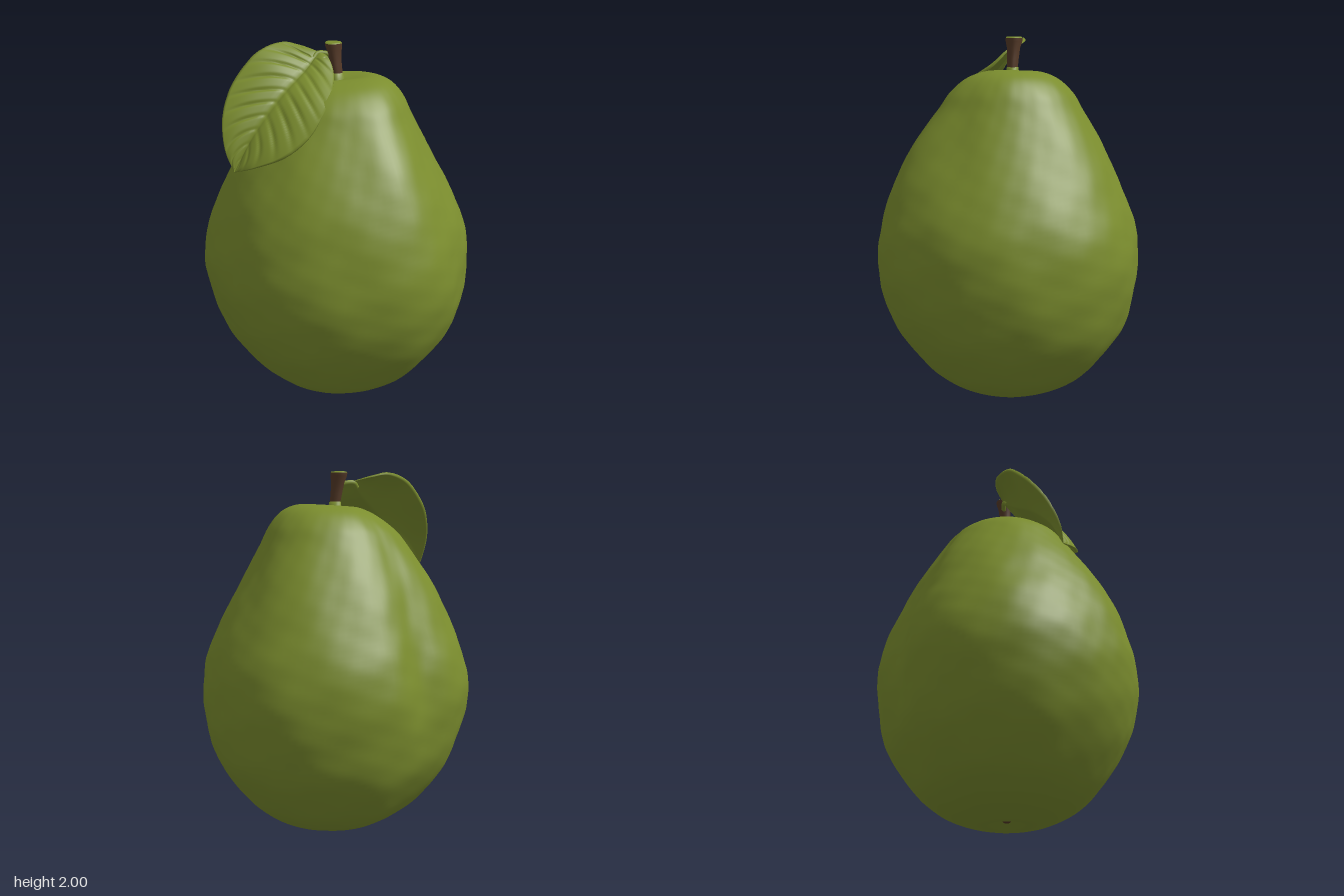
import * as THREE from 'three';

const V = (x, y, z) => new THREE.Vector3(x, y, z);
const curve = (pts) => new THREE.CatmullRomCurve3(pts.map((p) => V(...p)), false, 'catmullrom', 0.5);
const bell = (x, w) => Math.exp(-(x * x) / (w * w));

// Skin a list of closed rings (each counterclockwise seen from the far end)
function loft(rings) {
  const n = rings[0].length, pos = [], idx = [];
  rings.forEach((ring) => ring.forEach((p) => pos.push(p.x, p.y, p.z)));
  for (let i = 0; i < rings.length - 1; i++) {
    for (let j = 0; j < n; j++) {
      const a = i * n + j, b = i * n + ((j + 1) % n);
      idx.push(a, b, b + n, a, b + n, a + n);
    }
  }
  const g = new THREE.BufferGeometry();
  g.setAttribute('position', new THREE.Float32BufferAttribute(pos, 3));
  g.setIndex(idx);
  g.computeVertexNormals();
  return g;
}

// Round upright shape through rows of [x, y, z, radius], slightly knobbly
function stalk(rows, sides = 20) {
  return loft(rows.map(([x, y, z, r]) => Array.from({ length: sides }, (_, j) => {
    const t = (j / sides) * Math.PI * 2;
    const k = r * (1 + 0.07 * Math.sin(3 * t + 1));
    return V(x + k * Math.cos(t), y, z - k * Math.sin(t));
  })));
}

// Fruit: height, then reach to -x, +x, +z, -z
const PROFILE = [
  [0.03, 0, 0, 0, 0],
  [0.024, 0.03, 0.04, 0.03, 0.03],
  [0.003, 0.08, 0.12, 0.1, 0.1],
  [0.01, 0.15, 0.2, 0.18, 0.18],
  [0.045, 0.265, 0.32, 0.28, 0.29],
  [0.1, 0.37, 0.415, 0.385, 0.395],
  [0.2, 0.495, 0.525, 0.49, 0.505],
  [0.4, 0.64, 0.665, 0.625, 0.645],
  [0.6, 0.715, 0.73, 0.7, 0.7],
  [0.8, 0.75, 0.745, 0.72, 0.72],
  [1.0, 0.715, 0.72, 0.69, 0.69],
  [1.2, 0.635, 0.635, 0.63, 0.61],
  [1.4, 0.535, 0.525, 0.52, 0.515],
  [1.6, 0.4, 0.42, 0.385, 0.4],
  [1.7, 0.32, 0.365, 0.32, 0.34],
  [1.775, 0.22, 0.29, 0.23, 0.26],
  [1.812, 0.12, 0.19, 0.12, 0.16],
  [1.805, 0.05, 0.07, 0.05, 0.06],
  [1.793, 0, 0, 0, 0],
];

function fruitGeometry() {
  const xs = curve(PROFILE.map(([y, l, r]) => [l, y, r]));
  const zs = curve(PROFILE.map(([y, , , f, b]) => [f, y, b]));
  const rings = [], rows = 144, sides = 128;
  for (let i = 0; i <= rows; i++) {
    const px = xs.getPoint(i / rows), pz = zs.getPoint(i / rows), y = px.y;
    const top = THREE.MathUtils.smoothstep(y, 1.6, 1.81);
    const ring = [];
    for (let j = 0; j < sides; j++) {
      const t = (j / sides) * Math.PI * 2, c = Math.cos(t), s = -Math.sin(t);
      const near = (x, z, w) => {
        const d = Math.atan2(s, c) - Math.atan2(z, x);
        return bell(Math.atan2(Math.sin(d), Math.cos(d)), w);
      };
      // Shoulders and the hollow that make the outline uneven
      let k = 1 + near(0.48, 0.62, 0.36) * (0.065 * bell(y - 0.9, 0.8) + 0.09 * bell(y - 1.5, 0.28))
        + near(0.42, -0.6, 0.42) * (0.035 + 0.03 * bell(y - 1.5, 0.3))
        - 0.025 * near(-0.5, 0.48, 0.4)
        - 0.06 * near(-0.38, -0.53, 0.19) * bell(y - 1.0, 0.5)
        - 0.045 * near(-0.42, -0.5, 0.38);
      // Soft lumps
      k += 0.006 * Math.sin(5 * t + 4 * y) * Math.sin(7 * y + 2 * t)
        + 0.004 * Math.sin(11 * t - 9 * y) * Math.sin(17 * y + 3 * t)
        + 0.002 * Math.sin(23 * t + 19 * y) * Math.sin(37 * y - 9 * t);
      const x = (c > 0 ? px.z : px.x) * c * k, z = (s > 0 ? pz.x : pz.z) * s * k;
      // The crown leans up toward +x
      ring.push(V(x, y + 0.06 * x * top, z));
    }
    rings.push(ring);
  }
  return loft(rings);
}

// Leaf: two edges and a midrib between base and tip
const BASE = [-0.09, 1.945, -0.01], TIP = [-0.515, 1.38, 0.35];
const LEFT = curve([BASE, [-0.2, 1.975, -0.04], [-0.3, 1.99, -0.025], [-0.42, 1.945, 0.05],
  [-0.52, 1.83, 0.13], [-0.565, 1.73, 0.2], [-0.58, 1.62, 0.27], [-0.56, 1.49, 0.33], TIP]);
const RIGHT = curve([BASE, [-0.04, 1.92, 0.03], [-0.008, 1.84, 0.11], [-0.02, 1.75, 0.245],
  [-0.06, 1.67, 0.33], [-0.13, 1.57, 0.39], [-0.25, 1.48, 0.42], [-0.4, 1.42, 0.4], TIP]);
const MID = curve([BASE, [-0.16, 1.865, 0.07], [-0.28, 1.75, 0.185], [-0.41, 1.58, 0.285], TIP]);

function leafGeometry() {
  const rings = [], rows = 150, cols = 40;
  for (let i = 0; i <= rows; i++) {
    const u = i / rows, uc = THREE.MathUtils.clamp(u, 0.06, 0.94);
    const l = LEFT.getPoint(u), m = MID.getPoint(u), r = RIGHT.getPoint(u);
    const across = RIGHT.getPoint(uc).sub(LEFT.getPoint(uc));
    const normal = MID.getTangent(uc).cross(across).normalize();
    const ends = Math.sqrt(Math.sin(Math.PI * Math.min(Math.max(u, 0.004), 0.996)));
    const at = (v, side) => {
      const a = Math.abs(v);
      const p = m.clone().lerp(v > 0 ? r : l, a);
      // Side veins slant to the tip, cut into the upper face only
      const f = (u - 0.16 * a) * 11, d = f - Math.round(f);
      const vein = bell(d, 0.13) * bell(a - 0.45, 0.42) * (u > 0.12 && side > 0 ? 1 : 0);
      const rib = side > 0 ? bell(a, 0.05) : 0;
      const puff = 0.014 * Math.sin(Math.PI * a);
      const h = (puff - 0.01 * vein - 0.008 * rib + side * 0.009) * ends;
      return p.addScaledVector(normal, h);
    };
    const ring = [];
    for (let j = 0; j <= cols; j++) ring.push(at(1 - (2 * j) / cols, 1));
    for (let j = 0; j <= cols; j++) ring.push(at(-1 + (2 * j) / cols, -1));
    rings.push(ring);
  }
  return loft(rings);
}

export function createModel() {
  const green = new THREE.MeshStandardMaterial({ color: 0x7b8d2e });
  green.name = 'leafy green';
  const brown = new THREE.MeshStandardMaterial({ color: 0x553a28 });
  brown.name = 'bark brown';

  const model = new THREE.Group();
  model.name = 'fruit';
  const add = (name, geometry, material) => {
    const mesh = new THREE.Mesh(geometry, material);
    mesh.name = name;
    model.add(mesh);
    return mesh;
  };

  add('body', fruitGeometry(), green);

  // Stem: green collar, brown shaft flaring upward, green cut end
  add('stemCollar', stalk([[0.005, 1.775, -0.01, 0.05], [0.005, 1.805, -0.01, 0.036],
    [0.003, 1.835, -0.01, 0.031], [0.003, 1.837, -0.01, 0]]), green);
  add('stem', stalk([[0.005, 1.815, -0.01, 0.025], [0.003, 1.835, -0.01, 0.029], [-0.004, 1.88, -0.011, 0.031],
    [-0.012, 1.94, -0.013, 0.036], [-0.017, 1.975, -0.015, 0.045], [-0.018, 1.992, -0.015, 0.046]]), brown);
  add('stemEnd', stalk([[-0.018, 1.992, -0.015, 0.046], [-0.018, 1.999, -0.015, 0.04],
    [-0.018, 1.998, -0.015, 0.02], [-0.018, 1.996, -0.015, 0]]), green);

  // Leaf and its short stalk
  add('leaf', leafGeometry(), green);
  const stalkPath = curve([[-0.02, 1.925, -0.012], [-0.06, 1.938, -0.014], [-0.1, 1.938, -0.005], [-0.12, 1.915, 0.015]]);
  add('leafStalk', new THREE.TubeGeometry(stalkPath, 16, 0.014, 10), green);

  // Dried blossom remnant in the hollow underneath
  const calyx = add('blossomEnd', new THREE.SphereGeometry(0.024, 12, 8), brown);
  calyx.scale.y = 0.5;
  calyx.position.set(0, 0.025, 0);

  return model;
}
